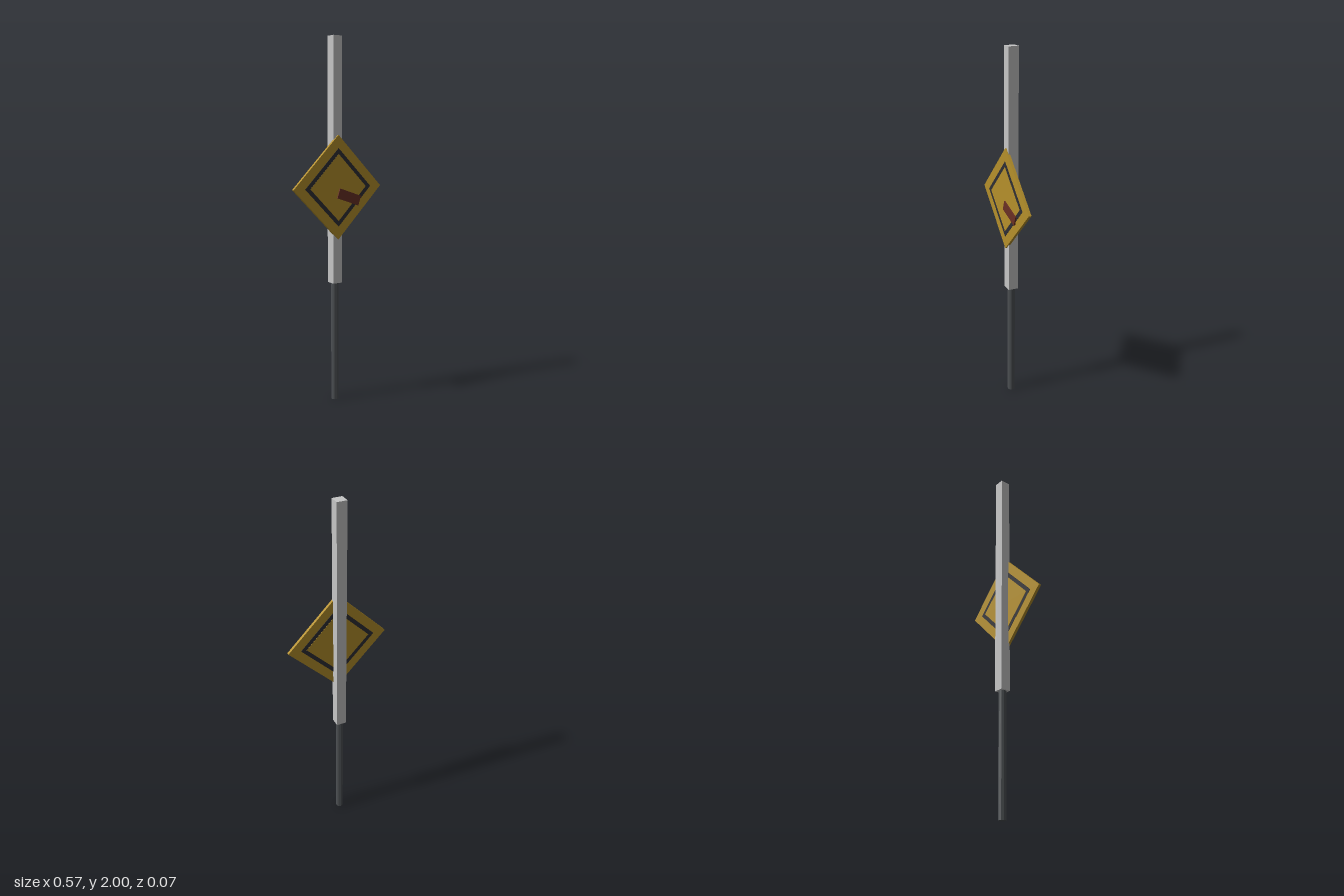
import * as THREE from 'three';

const mat = (name, color) => {
  const m = new THREE.MeshStandardMaterial({ color });
  m.name = name;
  return m;
};

export function createModel() {
  const model = new THREE.Group();
  model.name = 'signPost';

  const grey = mat('light grey', 0xc6c6c6);
  const steel = mat('dark steel', 0x4c5053);
  const yellow = mat('ochre yellow', 0xb5902b);
  const black = mat('charcoal', 0x2e2e34);
  const rust = mat('rust brown', 0x6a3024);

  const add = (parent, name, geometry, material, x, y, z) => {
    const mesh = new THREE.Mesh(geometry, material);
    mesh.name = name;
    mesh.position.set(x, y, z);
    parent.add(mesh);
    return mesh;
  };

  // Square upper post on a thin ten-sided pole
  const joint = 0.67, postZ = -0.01;
  add(model, 'upperPost', new THREE.BoxGeometry(0.056, 2 - joint, 0.056), grey, 0, (2 + joint) / 2, postZ);
  const poleGeo = new THREE.CylinderGeometry(0.021, 0.021, joint, 10).toNonIndexed();
  poleGeo.computeVertexNormals();
  add(model, 'lowerPole', poleGeo, steel, 0, joint / 2, postZ);

  // Diamond sign: stacked square plates leave a dark border on both faces
  const sign = new THREE.Group();
  sign.name = 'diamondSign';
  sign.position.set(0, 1.198, 0.018);
  model.add(sign);
  const plates = [
    ['signPlate', 0.4, 0.016, yellow],
    ['signBorder', 0.3, 0.0185, black],
    ['signCentre', 0.256, 0.0205, yellow],
  ];
  for (const [name, side, depth, material] of plates) {
    add(sign, name, new THREE.BoxGeometry(side, side, depth), material, 0, 0, 0).rotation.z = Math.PI / 4;
  }

  // Tilted patch on the front of the sign
  add(sign, 'rustPatch', new THREE.BoxGeometry(0.146, 0.055, 0.008), rust, 0.066, -0.054, 0.0128).rotation.z = -0.33;

  return model;
}
